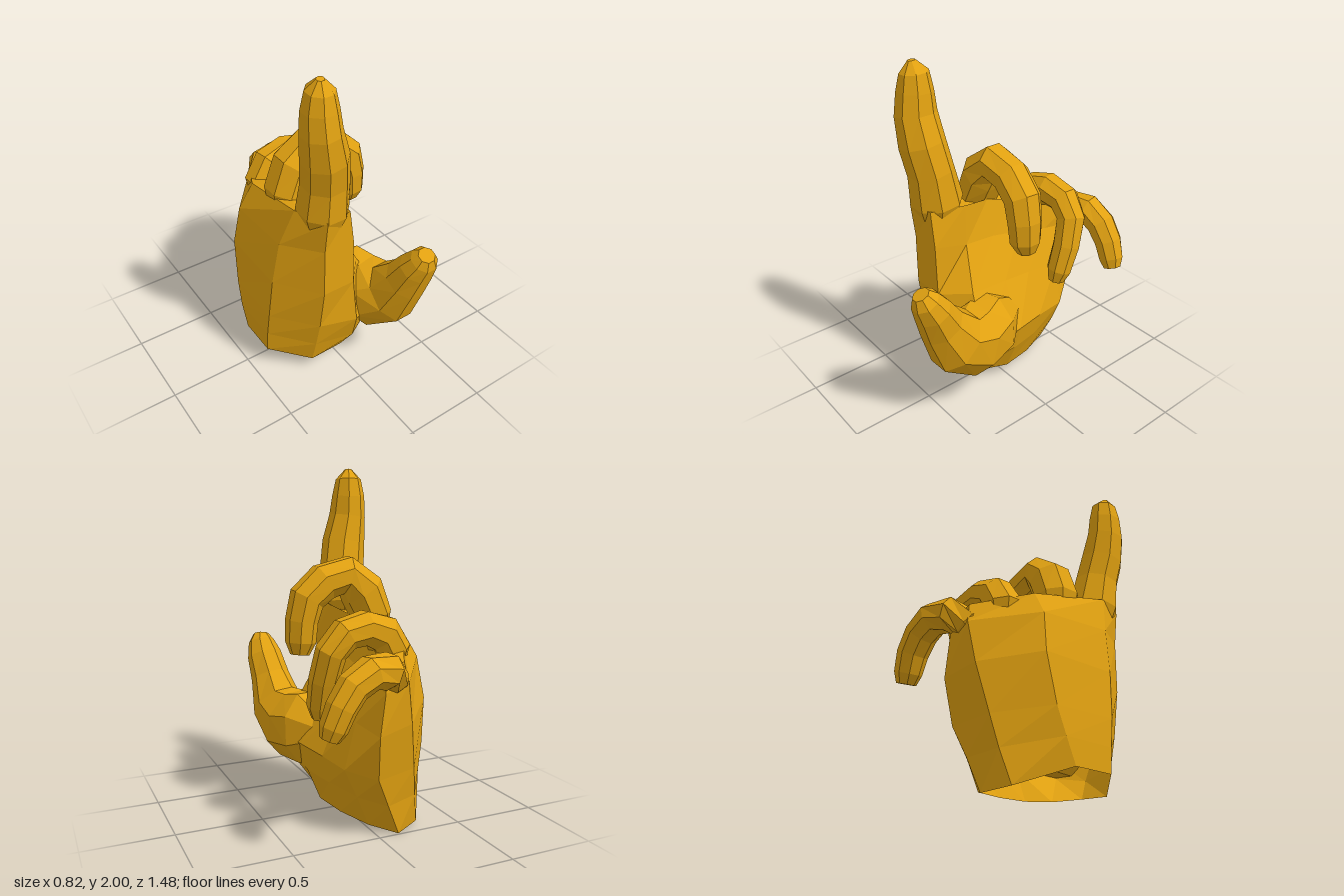
import * as THREE from 'three';

// Double-sided because the wrist is open.
const material = new THREE.MeshStandardMaterial({
  color: 0xe2a211, flatShading: true, side: THREE.DoubleSide,
});

// Skin a list of equal-length rings, leaving the first open and closing the last with a fan.
function loft(name, rings) {
  const n = rings[0].length;
  const points = rings.flat();
  const index = [];
  for (let r = 0; r < rings.length - 1; r++) {
    for (let i = 0; i < n; i++) {
      const a = r * n + i, b = r * n + (i + 1) % n;
      index.push(a, b, b + n, a, b + n, a + n);
    }
  }
  const top = rings[rings.length - 1];
  const end = points.push(top.reduce((s, p) => s.add(p), new THREE.Vector3()).divideScalar(n)) - 1;
  const last = (rings.length - 1) * n;
  for (let i = 0; i < n; i++) index.push(end, last + i, last + (i + 1) % n);
  const geometry = new THREE.BufferGeometry().setFromPoints(points);
  geometry.setIndex(index);
  const flat = geometry.toNonIndexed();
  flat.computeVertexNormals();
  const mesh = new THREE.Mesh(flat, material);
  mesh.name = name;
  return mesh;
}

// Eight-sided finger; each stop is [x, y, z, half width along side, half thickness].
function finger(name, side, stops) {
  const centres = stops.map(([x, y, z]) => new THREE.Vector3(x, y, z));
  const rings = stops.map(([, , , w, h], k) => {
    const from = centres[Math.max(k - 1, 0)];
    const to = centres[Math.min(k + 1, centres.length - 1)];
    const t = to.clone().sub(from).normalize();
    const u = side.clone().addScaledVector(t, -side.dot(t)).normalize();
    const v = t.clone().cross(u);
    return Array.from({ length: 8 }, (_, i) => {
      const a = (i + 0.5) * Math.PI / 4, c = Math.cos(Math.PI / 8);
      return centres[k].clone()
        .addScaledVector(u, w * Math.cos(a) / c)
        .addScaledVector(v, h * Math.sin(a) / c);
    });
  });
  return loft(name, rings);
}

export function createModel() {
  const hand = new THREE.Group();
  hand.name = 'hand';
  const X = new THREE.Vector3(1, 0, 0), Z = new THREE.Vector3(0, 0, 1);

  // Palm: rings from the slanted wrist, over the swollen heel, up to the knuckles
  const wrist = [[-.41, .13, .1], [-.2, .08, .28], [0, .1, .29], [.09, .08, .15], [.14, .07, 0],
    [.1, .055, -.2], [.02, .04, -.4], [-.12, 0, -.49], [-.27, .02, -.42], [-.41, .13, -.14]];
  const heel = [[-.41, .27, .11], [-.2, .24, .32], [.04, .22, .36], [.2, .25, .28], [.22, .26, 0],
    [.17, .24, -.2], [.1, .22, -.42], [-.04, .18, -.52], [-.23, .2, -.47], [-.41, .27, -.2]];
  const middle = [[-.405, .43, .13], [-.2, .42, .36], [.02, .41, .42], [.29, .41, .29], [.26, .42, 0],
    [.21, .4, -.2], [.17, .38, -.41], [.04, .35, -.56], [-.2, .37, -.51], [-.4, .42, -.25]];
  const upper = [[-.385, .7, .15], [-.2, .7, .4], [0, .7, .4], [.13, .71, .25], [.12, .69, 0],
    [.1, .66, -.2], [.11, .64, -.42], [.06, .6, -.61], [-.15, .64, -.57], [-.38, .7, -.3]];
  const fingerRoots = [[-.345, .97, .17], [-.2, 1, .4], [-.01, 1, .4], [.01, .96, .2], [0, .94, 0],
    [0, .9, -.2], [.02, .86, -.4], [.03, .83, -.61], [-.11, .87, -.6], [-.34, .94, -.28]];
  const knuckles = [[-.28, 1.21, .23], [-.2, 1.21, .425], [-.04, 1.21, .4], [-.005, 1.2, .19],
    [-.05, 1.16, 0], [-.05, 1.1, -.2], [-.01, 1.03, -.38], [.03, .96, -.57], [-.09, .98, -.58],
    [-.25, 1.09, -.27]];
  hand.add(loft('palm', [wrist, heel, middle, upper, fingerRoots, knuckles]
    .map((ring) => ring.map((p) => new THREE.Vector3(...p)))));

  // Raised index finger
  hand.add(finger('indexFinger', Z, [
    [-.145, 1.08, .28, .1, .09], [-.14, 1.21, .285, .14, .135],
    [-.145, 1.4, .315, .12, .125], [-.17, 1.56, .345, .12, .12], [-.2, 1.72, .355, .11, .1],
    [-.205, 1.84, .35, .095, .09], [-.205, 1.94, .35, .075, .07], [-.21, 2, .36, .02, .02],
  ]));

  // Fingers curling across the palm
  hand.add(finger('middleFinger', Z, [
    [-.18, 1.0, -.03, .09, .07], [-.17, 1.16, -.03, .13, .11], [-.11, 1.3, -.03, .125, .12],
    [-.01, 1.39, -.03, .105, .105], [.125, 1.355, -.03, .1, .1], [.225, 1.265, -.025, .1, .095],
    [.255, 1.14, -.02, .095, .085], [.262, 1.02, -.02, .085, .08], [.27, .95, -.025, .05, .05],
  ]));
  hand.add(finger('ringFinger', Z, [
    [-.12, .88, -.38, .06, .06], [-.12, 1.01, -.37, .11, .1], [-.06, 1.105, -.38, .105, .1],
    [.05, 1.14, -.395, .09, .09], [.165, 1.115, -.405, .085, .085], [.24, 1.025, -.395, .08, .08],
    [.262, .87, -.345, .075, .075], [.26, .72, -.295, .065, .07], [.255, .65, -.28, .045, .045],
  ]));
  hand.add(finger('littleFinger', Z, [
    [-.06, .8, -.48, .05, .05], [-.04, .89, -.55, .08, .08], [.03, .95, -.615, .095, .09],
    [.14, .955, -.65, .09, .085], [.24, .895, -.66, .085, .08], [.305, .8, -.665, .08, .075],
    [.345, .7, -.66, .07, .07], [.365, .645, -.655, .05, .05],
  ]));

  // Thumb rising out of the heel of the palm
  hand.add(finger('thumb', X, [
    [.12, .48, -.02, .08, .1], [.16, .47, .14, .16, .21], [.2, .46, .31, .17, .21],
    [.24, .55, .46, .14, .17], [.25, .71, .555, .11, .12], [.265, .84, .62, .1, .095],
    [.27, .92, .665, .075, .075], [.265, .965, .685, .045, .045],
  ]));

  return hand;
}
